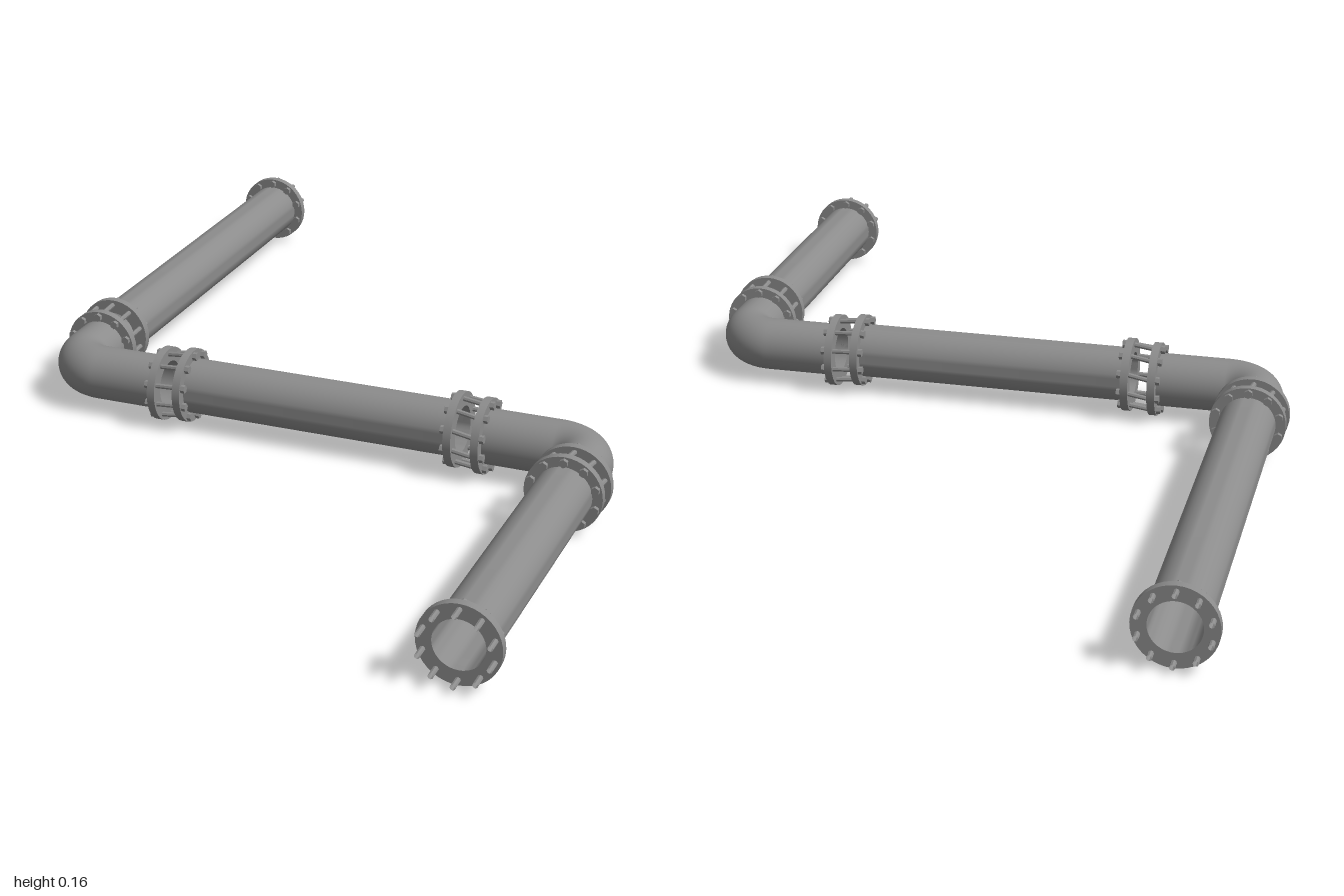
import * as THREE from 'three';
import { toCreasedNormals } from 'three/addons/utils/BufferGeometryUtils.js';

const PIPE_R = 0.059, BORE_R = 0.05, FLANGE_R = 0.08, FLANGE_T = 0.017, BOLT_RING = 0.069;
const PIPE_Y = 0.086, ELBOW_Y = 0.081, BOLTS = 10;
const V = (x, y, z) => new THREE.Vector3(x, y, z);
const UP = V(0, 1, 0);
const grey = new THREE.MeshStandardMaterial({ color: 0x8c8c8c, side: THREE.DoubleSide });

function add(parent, name, geometry) {
  const mesh = new THREE.Mesh(geometry, grey);
  mesh.name = name;
  parent.add(mesh);
  return mesh;
}

// Turn a mesh built along y so that its axis runs from a to b
function between(mesh, a, b) {
  mesh.position.copy(a).add(b).multiplyScalar(0.5);
  mesh.quaternion.setFromUnitVectors(UP, b.clone().sub(a).normalize());
}

function sleeve(parent, name, a, b, outer) {
  const h = a.distanceTo(b) / 2;
  const profile = [[BORE_R, -h], [outer, -h], [outer, h], [BORE_R, h], [BORE_R, -h]]
    .map(([r, y]) => new THREE.Vector2(r, y));
  between(add(parent, name, toCreasedNormals(new THREE.LatheGeometry(profile, 40), 0.6)), a, b);
}

function rod(parent, name, a, b, radius, sides, open) {
  const geometry = new THREE.CylinderGeometry(radius, radius, a.distanceTo(b), sides, 1, open);
  between(add(parent, name, toCreasedNormals(geometry, 0.9)), a, b);
}

// Flange with its open face at 'face', its body lying behind along -out
function flange(parent, face, out) {
  sleeve(parent, 'flange', face.clone().addScaledVector(out, -FLANGE_T), face, FLANGE_R);
}

// Point on the bolt circle round an axis along x or z
function onRing(center, axis, angle) {
  const side = V(axis.z, 0, -axis.x);
  return center.clone().addScaledVector(side, BOLT_RING * Math.cos(angle))
    .addScaledVector(UP, BOLT_RING * Math.sin(angle));
}

// Bolts from flange face a to b, one at the top, heads on the outer sides
function boltRing(parent, a, b, axis, twist, farHead) {
  const ring = new THREE.Group();
  ring.name = 'boltRing';
  parent.add(ring);
  for (let i = 0; i < BOLTS; i++) {
    const angle = Math.PI / 2 + (i * Math.PI * 2) / BOLTS;
    const p = onRing(a, axis, angle), q = onRing(b, axis, angle + twist);
    rod(ring, 'boltShank', p, q, 0.0055, 8, true);
    rod(ring, 'boltHead', p.clone().addScaledVector(axis, -FLANGE_T - 0.009), p, 0.009, 6, false);
    if (farHead) {
      rod(ring, 'boltHead', q, q.clone().addScaledVector(axis, FLANGE_T + 0.009), 0.009, 6, false);
    }
  }
}

// Two facing flanges with an open gap bridged by bolts
function joint(parent, a, b) {
  const axis = b.clone().sub(a).setY(0).normalize();
  const group = new THREE.Group();
  group.name = 'flangeJoint';
  parent.add(group);
  flange(group, a, axis);
  flange(group, b, axis.clone().negate());
  boltRing(group, a, b, axis, 0.04, true);
}

// Free end: flange with bolts pointing outward to 'tip'
function freeEnd(parent, face, tip) {
  const axis = tip.clone().sub(face).normalize();
  const group = new THREE.Group();
  group.name = 'freeEnd';
  parent.add(group);
  flange(group, face, axis);
  boltRing(group, face, tip, axis, 0, false);
}

// Right-angle pipe: straight, rounded bend, straight
function elbow(parent, start, corner, end) {
  const bend = 0.072, k = bend * (1 - 0.5523);
  const toward = (p, d) => corner.clone().addScaledVector(p.clone().sub(corner).normalize(), d);
  const path = new THREE.CurvePath();
  path.add(new THREE.LineCurve3(start, toward(start, bend)));
  path.add(new THREE.CubicBezierCurve3(toward(start, bend), toward(start, k), toward(end, k), toward(end, bend)));
  path.add(new THREE.LineCurve3(toward(end, bend), end));
  add(parent, 'elbowOuterWall', new THREE.TubeGeometry(path, 60, PIPE_R - 0.001, 40));
  add(parent, 'elbowInnerWall', new THREE.TubeGeometry(path, 60, BORE_R, 40));
}

export function createModel() {
  const model = new THREE.Group();
  model.name = 'pipeRun';
  const X = 0.591, Z = 0.144;

  // Straight pipes
  const backA = V(-X, PIPE_Y, -0.981), backB = V(-X, PIPE_Y, -0.053);
  const frontA = V(X, PIPE_Y, 0.338), frontB = V(X, PIPE_Y, 0.972);
  const midA = V(-0.313, PIPE_Y, Z), midB = V(0.313, PIPE_Y, Z);
  sleeve(model, 'backPipe', backA, backB, PIPE_R);
  sleeve(model, 'middlePipe', midA, midB, PIPE_R);
  sleeve(model, 'frontPipe', frontA, frontB, PIPE_R);

  // Elbows, turned about the middle of the run, with their joints
  const pipeEnds = [[backB, midA], [frontA, midB]];
  [-1, 1].forEach((s, i) => {
    const zEnd = V(s * X, ELBOW_Y, Z + s * 0.15);
    const xEnd = V(s * 0.355, ELBOW_Y, Z);
    elbow(model, zEnd, V(s * X, ELBOW_Y, Z), xEnd);
    joint(model, pipeEnds[i][0], zEnd);
    joint(model, xEnd, pipeEnds[i][1]);
  });

  // Open ends
  freeEnd(model, backA, V(-X, PIPE_Y, -1));
  freeEnd(model, frontB, V(X, PIPE_Y, 1));
  return model;
}
